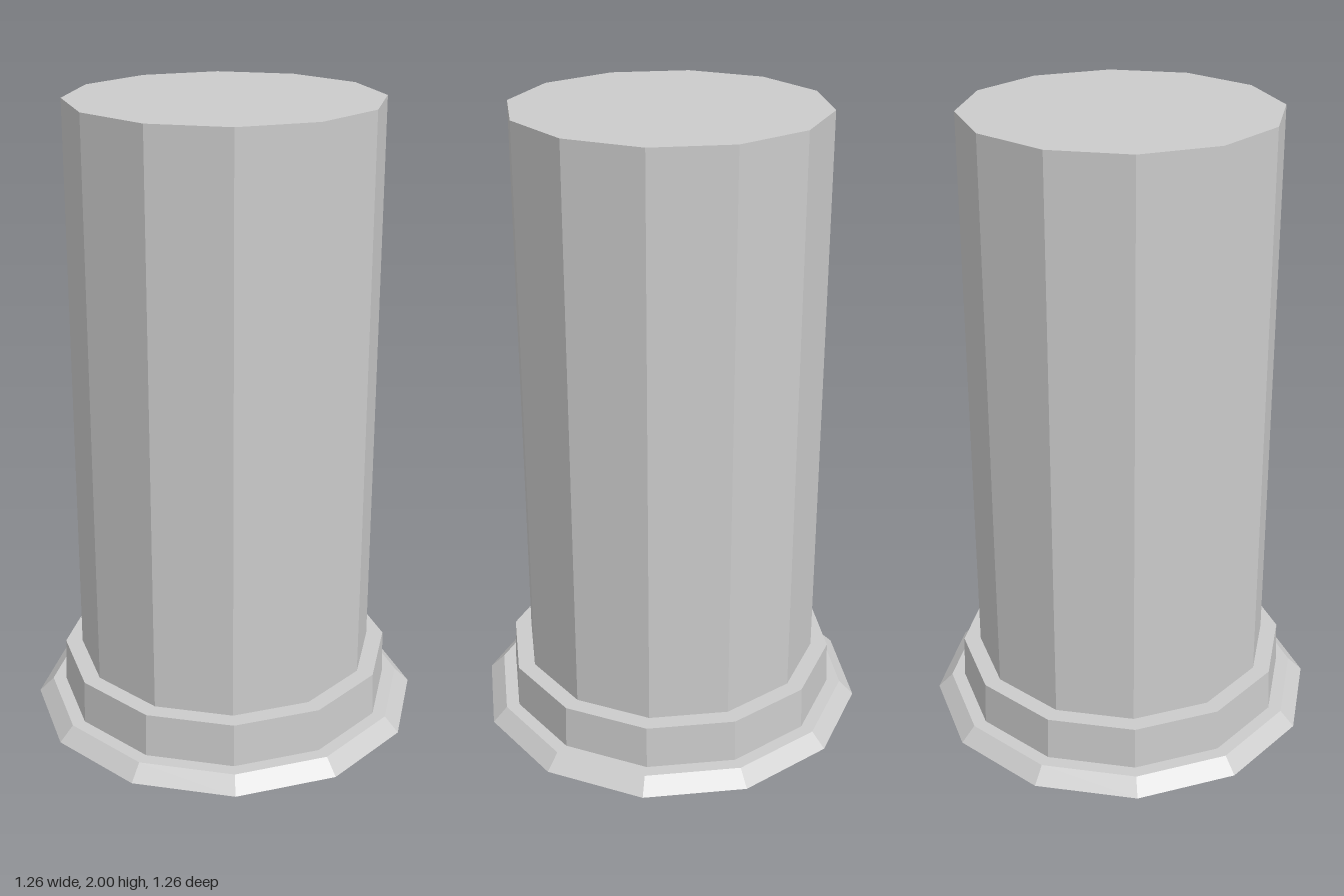
import * as THREE from 'three';

const SIDES = 12;

export function createModel() {
  const group = new THREE.Group();
  group.name = 'column';
  const material = new THREE.MeshStandardMaterial({ color: 0xcccccc, flatShading: true });

  // Turns a [radius, height] profile, listed from bottom to top, into a faceted part
  const addTurned = (name, profile) => {
    const points = profile.map(([r, y]) => new THREE.Vector2(r, y));
    const mesh = new THREE.Mesh(new THREE.LatheGeometry(points, SIDES), material);
    mesh.name = name;
    group.add(mesh);
  };

  // Flared foot with closed underside
  addTurned('foot', [[0, 0], [0.63, 0], [0.583, 0.047], [0.54, 0.047]]);
  // Slightly tapered collar with a narrow ledge
  addTurned('collar', [[0.54, 0.047], [0.535, 0.19], [0.48, 0.19]]);
  // Straight shaft with flat top
  addTurned('shaft', [[0.48, 0.19], [0.48, 2], [0, 2]]);

  return group;
}
